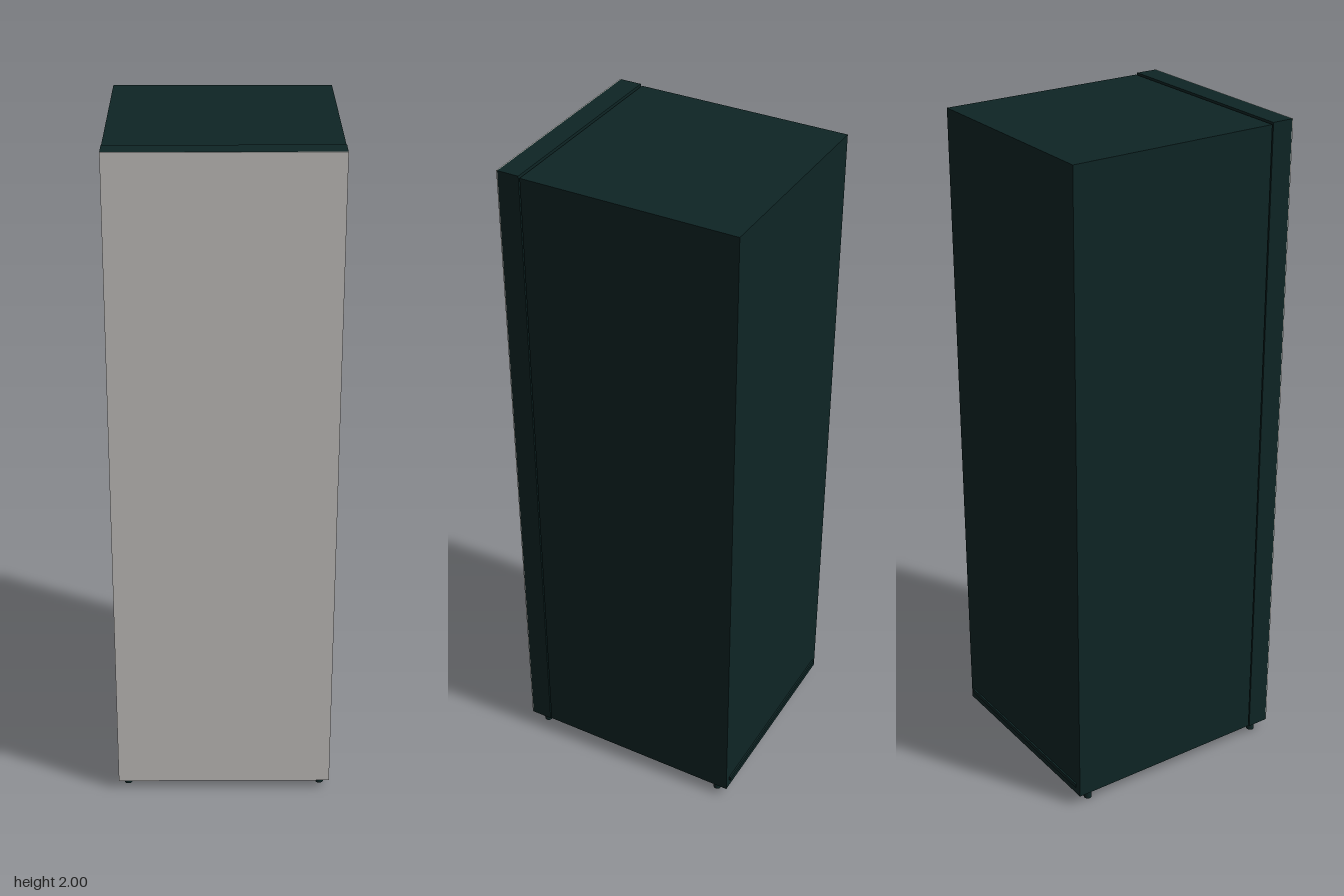
import * as THREE from 'three';

export function createModel() {
  const model = new THREE.Group();
  const dark = new THREE.MeshStandardMaterial({ color: 0x0e2525 });
  dark.name = 'dark teal';
  const light = new THREE.MeshStandardMaterial({ color: 0xc8c6c2 });
  light.name = 'warm grey';

  // Box given by its minimum and maximum corners
  function box(name, material, [x0, y0, z0], [x1, y1, z1]) {
    const mesh = new THREE.Mesh(new THREE.BoxGeometry(x1 - x0, y1 - y0, z1 - z0), material);
    mesh.position.set((x0 + x1) / 2, (y0 + y1) / 2, (z0 + z1) / 2);
    mesh.name = name;
    model.add(mesh);
  }

  // Cabinet, recessed door seal and door
  box('cabinet', dark, [-0.32, 0.035, -0.355], [0.32, 1.995, 0.286]);
  box('doorSeal', dark, [-0.314, 0.04, 0.286], [0.314, 1.99, 0.29]);
  box('door', dark, [-0.32, 0.032, 0.29], [0.32, 2, 0.355]);
  box('doorFrontPanel', light, [-0.32, 0.032, 0.355], [0.32, 2, 0.358]);

  // Plinth rail under the door and spacer rail low on the back
  box('plinthRail', dark, [-0.3, 0.017, 0.298], [0.3, 0.035, 0.333]);
  box('backRail', dark, [-0.302, 0.059, -0.36], [0.302, 0.072, -0.355]);

  // Four short round feet
  const footGeometry = new THREE.CylinderGeometry(0.012, 0.012, 0.036, 20);
  for (const x of [-0.293, 0.293]) {
    for (const z of [-0.31, 0.315]) {
      const foot = new THREE.Mesh(footGeometry, dark);
      foot.position.set(x, 0.018, z);
      foot.name = z > 0 ? 'frontFoot' : 'backFoot';
      model.add(foot);
    }
  }
  return model;
}
